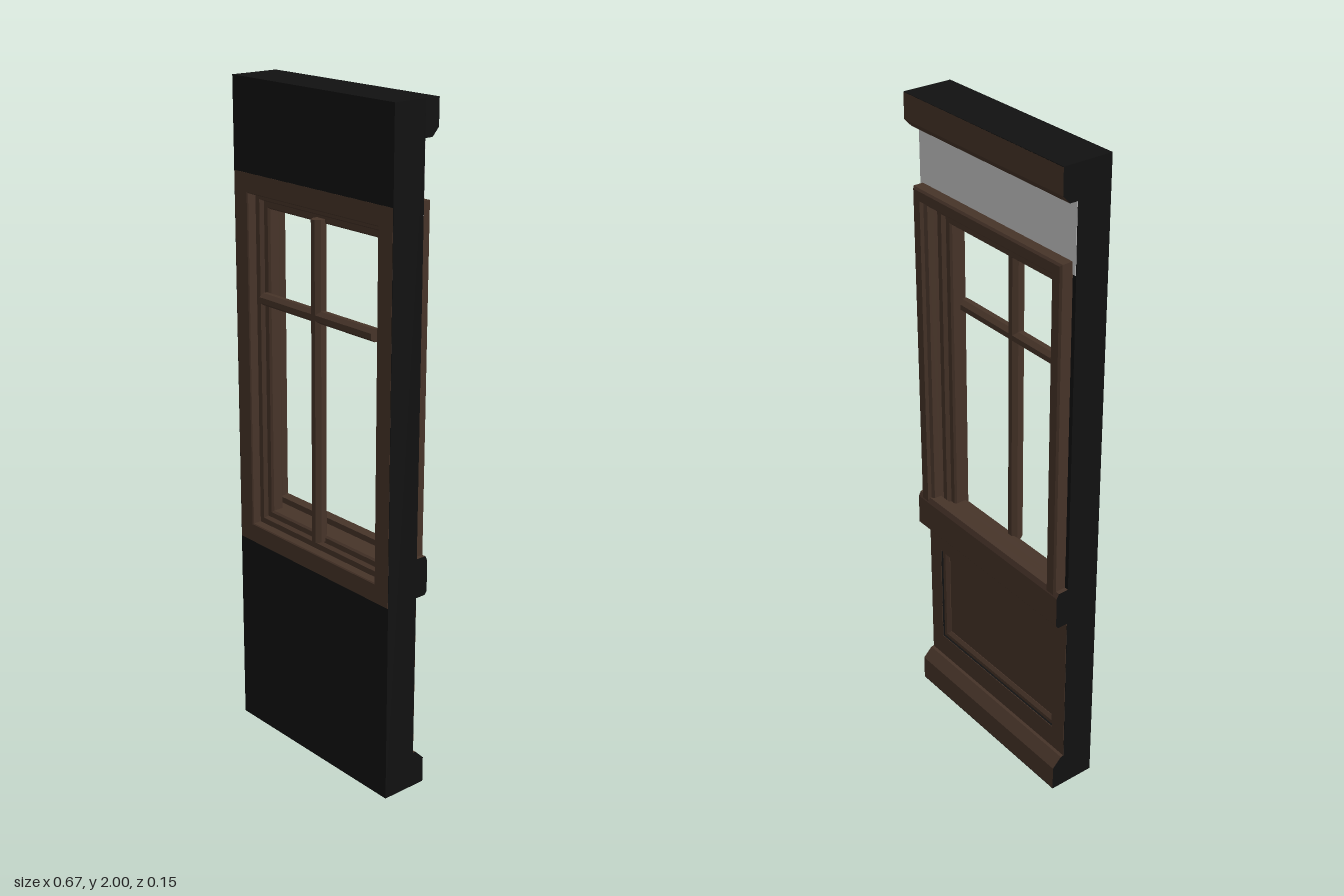
import * as THREE from 'three';

const brown = new THREE.MeshStandardMaterial({ color: 0x473429 });
const black = new THREE.MeshStandardMaterial({ color: 0x111111 });
const grey = new THREE.MeshStandardMaterial({ color: 0xcccccc });
const HALF = 0.333;

export function createModel() {
  const group = new THREE.Group();

  function add(name, geometry, material) {
    const mesh = new THREE.Mesh(geometry, material);
    mesh.name = name;
    group.add(mesh);
  }

  // Box given by its half width and its y and z ranges
  function slab(name, half, y0, y1, z0, z1, material) {
    const g = new THREE.BoxGeometry(half * 2, y1 - y0, z1 - z0);
    g.translate(0, (y0 + y1) / 2, (z0 + z1) / 2);
    add(name, g, material);
  }

  const corners = (half, y0, y1) =>
    [[-half, y0], [half, y0], [half, y1], [-half, y1]].map(([x, y]) => new THREE.Vector2(x, y));

  // Flat plate with rectangular holes
  function plate(name, outer, holes, z0, z1, material) {
    const shape = new THREE.Shape(corners(...outer));
    for (const h of holes) shape.holes.push(new THREE.Path(corners(...h).reverse()));
    const g = new THREE.ExtrudeGeometry(shape, { depth: z1 - z0, bevelEnabled: false });
    g.translate(0, 0, z0);
    add(name, g, material);
  }

  // Mitred rectangular frame; closed profile of [inset, z] pairs
  function mitredFrame(name, half, y0, y1, profile) {
    const pos = [];
    const rings = profile.map(([i, z]) =>
      corners(half - i, y0 + i, y1 - i).map(c => [c.x, c.y, z]));
    rings.forEach((a, k) => {
      const b = rings[(k + 1) % rings.length];
      for (let j = 0; j < 4; j++) {
        const n = (j + 1) % 4;
        pos.push(...a[j], ...a[n], ...b[n], ...a[j], ...b[n], ...b[j]);
      }
    });
    const g = new THREE.BufferGeometry();
    g.setAttribute('position', new THREE.Float32BufferAttribute(pos, 3));
    g.computeVertexNormals();
    add(name, g, brown);
  }

  // Full-width moulding with dark ends; profile of [distance to the back, y]
  function moulding(name, profile) {
    const shape = new THREE.Shape(profile.map(p => new THREE.Vector2(...p)));
    const g = new THREE.ExtrudeGeometry(shape, { depth: HALF * 2, bevelEnabled: false });
    g.rotateY(Math.PI / 2).translate(-HALF, 0, 0);
    add(name, g, [black, brown]);
  }

  // Wall body with window opening and panel recess
  const recess = [0.278, 0.187, 0.525];
  plate('wall', [HALF, 0, 2], [[0.293, 0.65, 1.695], recess], -0.0295, 0.0765, black);
  slab('wallFrontInfill', ...recess, 0, 0.0765, black);

  // Facing on the back
  slab('upperWallFacing', HALF - 0.001, 1.7, 1.91, -0.031, -0.027, grey);
  plate('lowerPanelling', [HALF - 0.001, 0.002, 0.63], [recess], -0.031, -0.029, brown);
  slab('recessedPanel', ...recess, -0.012, -0.002, brown);
  mitredFrame('panelMoulding', ...recess,
    [[0, -0.023], [0, -0.008], [0.022, -0.008], [0.022, -0.014], [0.012, -0.023]]);

  // Window frame, flush with the front and lining the opening
  mitredFrame('windowFrame', HALF - 0.001, 0.61, 1.735,
    [[0, 0.07], [0, 0.077], [0.055, 0.077], [0.058, 0.074], [0.058, -0.031],
      [0.036, -0.031], [0.036, 0.07]]);

  // Sash with stepped moulding on both faces
  mitredFrame('sash', 0.277, 0.665, 1.68,
    [[0, -0.018], [0, 0.048], [0.02, 0.048], [0.026, 0.036], [0.042, 0.036], [0.047, 0.03],
      [0.047, 0], [0.042, -0.006], [0.026, -0.006], [0.02, -0.018]]);

  // Glazing bars
  function glazingBar(name, length) {
    const s = new THREE.Shape([[-0.018, 0.008], [-0.008, -0.006], [0.008, -0.006], [0.018, 0.008],
      [0.018, 0.022], [0.008, 0.036], [-0.008, 0.036], [-0.018, 0.022]]
      .map(p => new THREE.Vector2(...p)));
    const g = new THREE.ExtrudeGeometry(s, { depth: length, bevelEnabled: false });
    g.translate(0, 0, -length / 2).rotateX(Math.PI / 2);
    add(name, g, brown);
    return g;
  }
  glazingBar('verticalBar', 0.95).translate(0, 1.172, 0.03);
  glazingBar('horizontalBar', 0.48).rotateZ(Math.PI / 2).translate(0, 1.373, 0.03);

  // Raised casing around the opening on the back
  mitredFrame('backCasing', 0.32, 0.635, 1.735,
    [[0, -0.063], [0, -0.029], [0.047, -0.029], [0.047, -0.052], [0.038, -0.058],
      [0.034, -0.068], [0.006, -0.068]]);
  slab('innerLedge', 0.28, 0.66, 0.712, -0.04, 0, brown);

  // Horizontal mouldings on the back
  moulding('windowSill', [[0.029, 0.61], [0.062, 0.61], [0.07, 0.62], [0.07, 0.715],
    [0.062, 0.73], [0.029, 0.73]]);
  moulding('baseboard', [[0.029, 0.001], [0.07, 0.001], [0.07, 0.08], [0.04, 0.11], [0.029, 0.112]]);
  moulding('crown', [[0.029, 1.9], [0.055, 1.9], [0.077, 1.924], [0.077, 1.999], [0.029, 1.999]]);

  // Dark end surfaces above and below
  slab('topCap', HALF, 1.998, 2, -0.077, 0.0765, black);
  slab('bottomCap', HALF, 0, 0.002, -0.07, 0.0765, black);

  return group;
}
